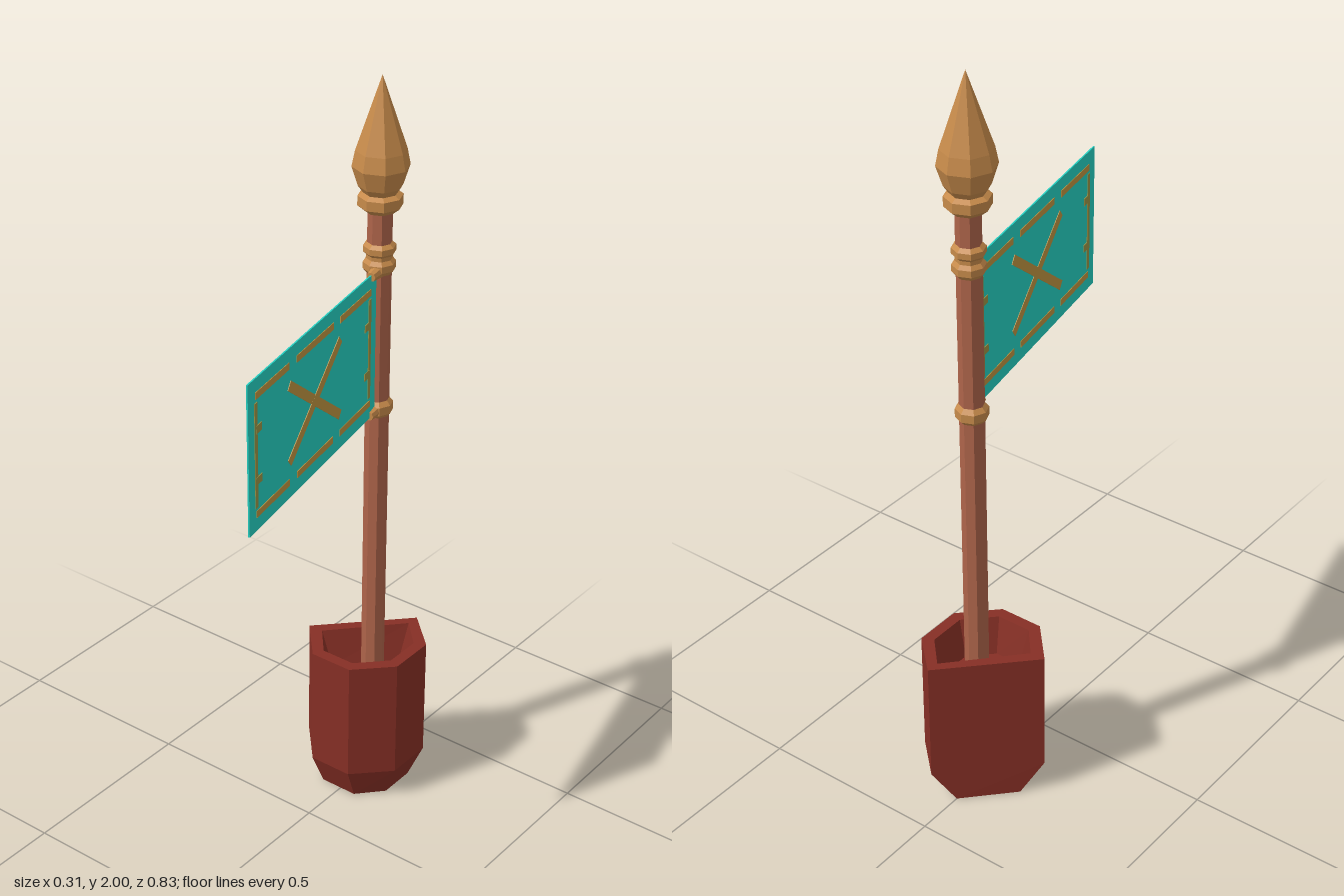
import * as THREE from 'three';

const material = (name, color, opts = {}) => {
  const m = new THREE.MeshStandardMaterial({ color, ...opts });
  m.name = name;
  return m;
};

export function createModel() {
  const flat = { flatShading: true };
  const potRed = material('dark red', 0x862f25, flat);
  const wood = material('pole wood', 0xae644a, flat);
  const bronze = material('bronze', 0xc68a4a, flat);
  const cloth = material('turquoise cloth', 0x25cfc1);
  const gold = material('gold paint', 0xbd9440);
  const olive = material('olive paint', 0x9a9346);
  const black = material('underside black', 0x040404);

  const model = new THREE.Group();
  model.name = 'bannerPole';
  const add = (parent, name, geometry, mat, x = 0, y = 0, z = 0) => {
    const mesh = new THREE.Mesh(geometry, mat);
    mesh.name = name;
    mesh.position.set(x, y, z);
    parent.add(mesh);
    return mesh;
  };

  // Six-sided pot: cross-sections [x, z] with a flat wall at the back
  const outer = [[0.045, -0.415], [0.14, -0.325], [0.14, -0.195], [0.05, -0.105], [-0.07, -0.105], [-0.16, -0.205]];
  const foot = [[0, -0.37], [0.105, -0.305], [0.105, -0.205], [0.045, -0.14], [-0.06, -0.14], [-0.115, -0.25]];
  const inner = [[0.043, -0.38], [0.11, -0.31], [0.11, -0.207], [0.038, -0.135], [-0.057, -0.135], [-0.118, -0.207]];
  const floor = [[0.04, -0.342], [0.085, -0.297], [0.085, -0.217], [0.028, -0.16], [-0.045, -0.16], [-0.086, -0.21]];
  const ring = (pts, y) => pts.map(([x, z]) => [x, y, z]);
  const rings = [ring(foot, 0), ring(outer, 0.09), ring(outer, 0.43), ring(inner, 0.43), ring(floor, 0.33)];
  const build = (triangles) => {
    const g = new THREE.BufferGeometry();
    g.setAttribute('position', new THREE.Float32BufferAttribute(triangles.flat(), 3));
    g.computeVertexNormals();
    return g;
  };
  const fan = (r) => r.slice(2).flatMap((p, i) => [r[0], r[i + 1], p]);
  const walls = [];
  for (let k = 0; k + 1 < rings.length; k++) {
    const lo = rings[k], hi = rings[k + 1];
    for (let i = 0; i < 6; i++) {
      const j = (i + 1) % 6;
      walls.push(lo[i], hi[i], lo[j], lo[j], hi[i], hi[j]);
    }
  }
  walls.push(...fan([...rings[4]].reverse()));
  add(model, 'pot', build(walls), potRed);
  add(model, 'potUnderside', build(fan(rings[0])), black);

  // Pole and turned bronze fittings share one axis
  const mast = new THREE.Group();
  mast.name = 'mast';
  mast.position.set(0.007, 0, -0.267);
  model.add(mast);
  add(mast, 'pole', new THREE.CylinderGeometry(0.031, 0.031, 1.36, 8), wood, 0, 1.0, 0);
  const turned = (name, profile) => add(mast, name,
    new THREE.LatheGeometry(profile.map(([r, y]) => new THREE.Vector2(r, y)), 8), bronze);
  turned('spearhead', [[0, 1.66], [0.038, 1.66], [0.056, 1.675], [0.056, 1.7], [0.043, 1.708],
    [0.055, 1.725], [0.071, 1.775], [0.063, 1.815], [0, 2]]);
  turned('upperCollar', [[0.03, 1.497], [0.041, 1.51], [0.041, 1.527], [0.033, 1.537],
    [0.033, 1.547], [0.041, 1.555], [0.041, 1.57], [0.03, 1.58]]);
  turned('lowerCollar', [[0.03, 1.108], [0.041, 1.12], [0.041, 1.142], [0.03, 1.155]]);

  // Flag swung away from the pole; local x runs along the cloth
  const flag = new THREE.Group();
  flag.name = 'flag';
  flag.position.set(0.02, 1.32, -0.235);
  flag.rotation.y = -Math.atan2(0.615, 0.125);
  model.add(flag);
  const length = 0.665, mid = length / 2;
  add(flag, 'cloth', new THREE.BoxGeometry(length, 0.39, 0.004), cloth, mid, 0, 0);
  for (const y of [-0.19, 0.19]) {
    const eye = add(flag, 'flagMount', new THREE.CylinderGeometry(0.012, 0.018, 0.04, 8), bronze, 0.008, y, 0);
    eye.rotation.z = -Math.PI / 2;
  }

  // Painted cross and broken border, showing on both faces
  const plate = (name, w, h, x, y, mat, t = 0.007) =>
    add(flag, name, new THREE.BoxGeometry(w, h, t), mat, x, y, 0);
  for (const s of [-1, 1]) {
    plate('crossArm', 0.335, 0.025, mid, 0, gold, s > 0 ? 0.007 : 0.0074).rotation.z = s * 0.65;
    for (const [x, w] of [[0.115, 0.17], [mid, 0.19], [0.548, 0.165]])
      plate('borderDash', w, 0.018, x, s * 0.152, gold);
    plate('borderUpright', 0.013, 0.27, mid + s * 0.297, 0, olive);
    for (const e of [-1, 1])
      plate('borderKnot', 0.028, 0.02, mid + s * 0.284, e * 0.066, olive, 0.0078);
  }
  return model;
}
